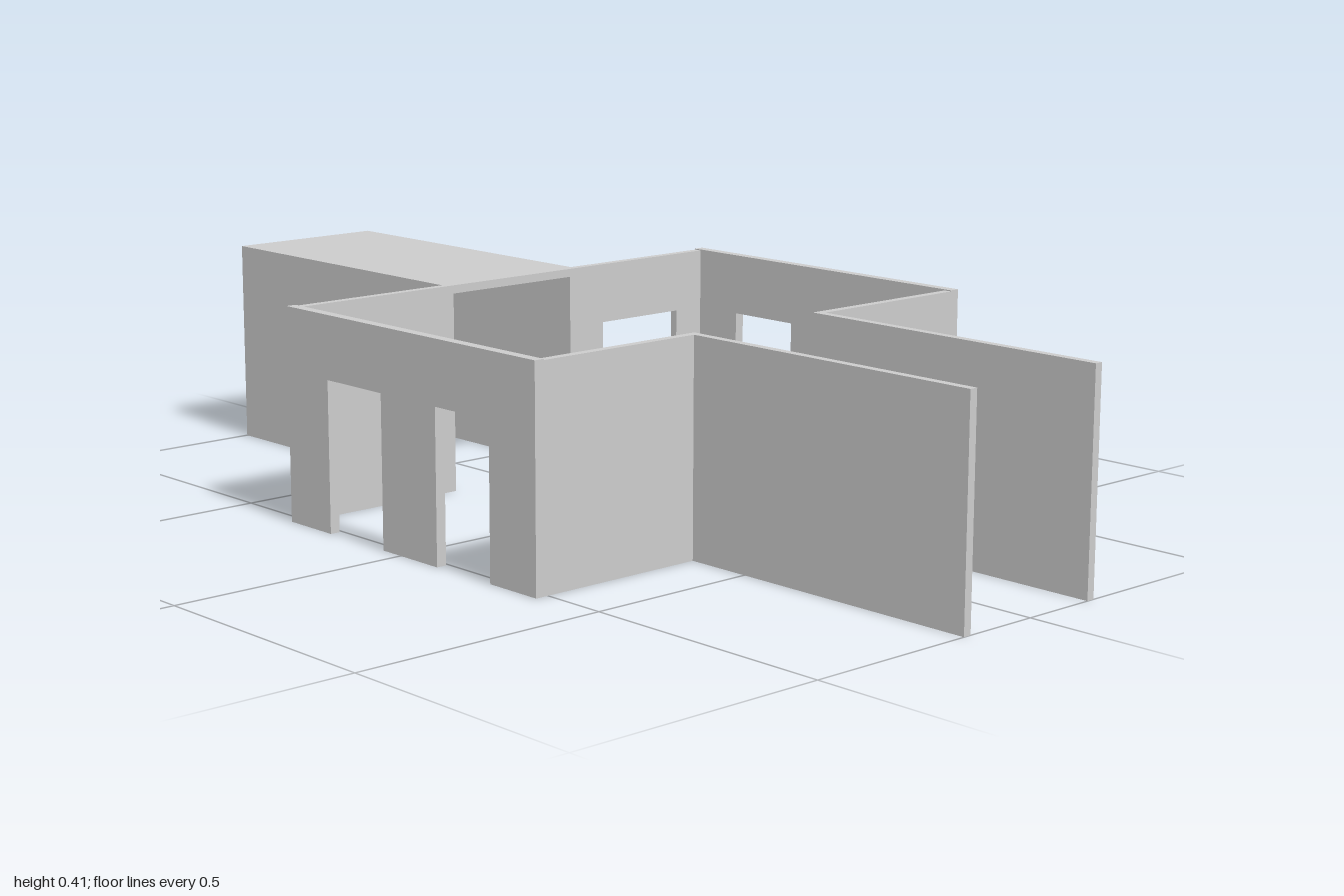
import * as THREE from 'three';

const material = new THREE.MeshStandardMaterial({ color: 0xcccccc, flatShading: true });
const H = 0.405;            // wall height
const DOOR_H = 0.287;       // doorway height
const ROOM_X = 0.526;       // room half width
const ROOM_BACK = -0.33, ROOM_FRONT = 0.371;
const SIDE_T = 0.02, END_T = 0.016;
const HALL_IN = 0.148, HALL_OUT = 0.164;

// Wall outline from a to b, notched from the floor up at each doorway [start, end]
function wallGeometry(a, b, height, thickness, doors = []) {
  const s = new THREE.Shape();
  s.moveTo(a, 0);
  for (const [d0, d1] of doors) {
    s.lineTo(d0, 0);
    s.lineTo(d0, DOOR_H);
    s.lineTo(d1, DOOR_H);
    s.lineTo(d1, 0);
  }
  s.lineTo(b, 0);
  s.lineTo(b, height);
  s.lineTo(a, height);
  s.closePath();
  return new THREE.ExtrudeGeometry(s, { depth: thickness, bevelEnabled: false });
}

function addMesh(parent, name, geometry) {
  const mesh = new THREE.Mesh(geometry, material);
  mesh.name = name;
  parent.add(mesh);
  return mesh;
}

// Wall running along x, with its back face at z
function wallAlongX(parent, name, x0, x1, z, doors) {
  addMesh(parent, name, wallGeometry(x0, x1, H, END_T, doors)).position.z = z;
}

// Wall running along z, spanning x0 to x1
function wallAlongZ(parent, name, z0, z1, x0, x1, height = H, doors = []) {
  const flipped = doors.map(([a, b]) => [-b, -a]).sort((p, q) => p[0] - q[0]);
  const g = wallGeometry(-z1, -z0, height, x1 - x0, flipped);
  g.rotateY(Math.PI / 2);   // outline x becomes -z, depth becomes +x
  addMesh(parent, name, g).position.x = x0;
}

export function createModel() {
  const model = new THREE.Group();
  model.name = 'roomWithCorridors';
  const room = new THREE.Group();
  room.name = 'room';
  const frontCorridor = new THREE.Group();
  frontCorridor.name = 'frontCorridor';
  const backCorridor = new THREE.Group();
  backCorridor.name = 'backCorridor';
  model.add(room, frontCorridor, backCorridor);

  const sideDoors = [[-0.208, -0.05], [0.104, 0.25]];
  const inner = ROOM_X - SIDE_T;

  for (const [side, label] of [[1, 'Left'], [-1, 'Right']]) {
    const span = (a, b) => (side > 0 ? [a, b] : [-b, -a]);

    // Room side wall with two doorways, a touch taller than the rest
    wallAlongZ(room, `sideWall${label}`, ROOM_BACK, ROOM_FRONT, ...span(inner, ROOM_X), H + 0.002, sideDoors);

    // Room end walls; one back wall has a doorway
    wallAlongX(room, `frontWall${label}`, ...span(HALL_IN, inner), ROOM_FRONT - END_T, []);
    wallAlongX(room, `backWall${label}`, ...span(HALL_IN, inner), ROOM_BACK, side > 0 ? [[0.235, 0.438]] : []);

    // Corridor walls
    wallAlongZ(frontCorridor, `frontCorridorWall${label}`, ROOM_FRONT, 1, ...span(HALL_IN, HALL_OUT));
    wallAlongZ(backCorridor, `backCorridorWall${label}`, -1, ROOM_BACK, ...span(HALL_IN, HALL_OUT));
  }

  // Flat roof closing the back corridor, fitted between its walls
  const roofBack = -1, roofFront = ROOM_BACK + END_T, roofT = 0.016;
  const roof = addMesh(backCorridor, 'backCorridorRoof',
    new THREE.BoxGeometry(HALL_IN * 2, roofT, roofFront - roofBack));
  roof.position.set(0, H - roofT / 2, (roofBack + roofFront) / 2);

  return model;
}
